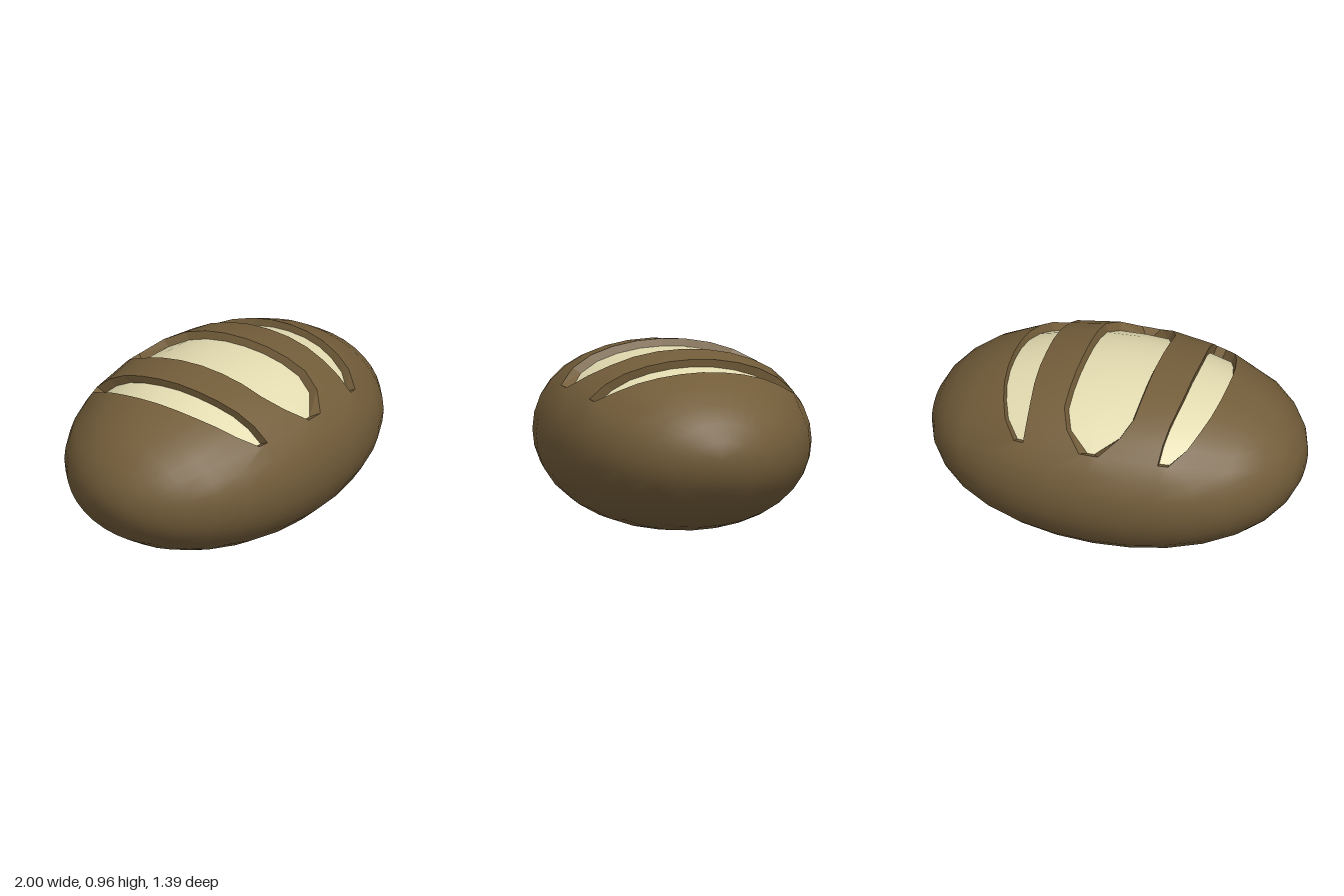
import * as THREE from 'three';

const STEP = Math.PI / 16, ROWS = 32, CAP = 8, END = 5, MID = 0.488;
const crustMat = new THREE.MeshStandardMaterial({ color: 0x735d3a });
const wallMat = new THREE.MeshStandardMaterial({ color: 0x735d3a, side: THREE.DoubleSide, flatShading: true });
const crumbMat = new THREE.MeshStandardMaterial({ color: 0xe3dbb0, side: THREE.DoubleSide });

// x of the slash edges (columns 1 to 3) from the crown to the slash end
const EDGES = {
  1: [0.195, 0.195, 0.192, 0.185, 0.14, 0.05],
  2: [0.395, 0.394, 0.385, 0.37, 0.36, 0.357],
  3: [0.566, 0.562, 0.547, 0.518, 0.48, 0.408],
};

// point of the loaf at column c (along x) and row r (around x, 0 = crown, + toward front)
function loafPoint(c, r) {
  const edge = EDGES[Math.abs(c)];
  const x = edge && Math.abs(r) <= END ? Math.sign(c) * edge[Math.abs(r)] : Math.sin(c * STEP);
  const s = Math.sqrt(Math.max(0, 1 - x * x));
  const y = s * Math.cos(r * STEP), z = s * Math.sin(r * STEP);
  const bulge = 1 + 0.1 * (x * x * y * y + y * y * z * z + z * z * x * x);
  return new THREE.Vector3(x, y * 0.485, z * 0.693).multiplyScalar(bulge);
}

// grid of points with smooth normals; keep(c, r) decides which cells stay
function geometryFrom(points, index) {
  const g = new THREE.BufferGeometry().setFromPoints(points);
  if (index) g.setIndex(index);
  g.computeVertexNormals();
  return g;
}

const inSlash = (c, r) => r >= -END && r < END && [-3, -1, 0, 2].includes(c);

function crustGeometry() {
  const points = [], all = [], open = [];
  for (let c = -CAP; c <= CAP; c++)
    for (let r = -16; r < 16; r++) points.push(loafPoint(c, r));
  const id = (c, r) => (c + CAP) * ROWS + ((r + 16) % ROWS);
  for (let c = -CAP; c < CAP; c++) {
    for (let r = -16; r < 16; r++) {
      const cell = [];
      if (c > -CAP) cell.push(id(c, r), id(c, r + 1), id(c + 1, r));
      if (c < CAP - 1) cell.push(id(c + 1, r), id(c, r + 1), id(c + 1, r + 1));
      if (c === CAP - 1) cell.splice(0, 3, id(c, r), id(c, r + 1), id(c + 1, r));
      all.push(...cell);
      if (!inSlash(c, r)) open.push(...cell);
    }
  }
  // normals come from the unbroken loaf, then the slashes are opened
  const g = geometryFrom(points, all);
  for (let r = -16; r < 16; r++) {
    g.attributes.normal.setXYZ(id(-CAP, r), -1, 0, 0);
    g.attributes.normal.setXYZ(id(CAP, r), 1, 0, 0);
  }
  g.setIndex(open);
  return g;
}

// sunken copy of a loaf point, used for the slash floor
function floorPoint(c, r) {
  const p = loafPoint(c, r), centre = Math.abs(c) <= 1;
  const k = centre ? 0.92 : 0.91;
  const tip = Math.abs(r) === END && centre ? 0.4 : 1;
  return p.set(p.x * (centre ? 0.92 : 0.985) * tip, p.y * k, p.z * k);
}

function slash(name, c0, c1) {
  const group = new THREE.Group();
  group.name = name;

  // pale floor
  const points = [], index = [], n = 2 * END + 1;
  for (let c = c0; c <= c1; c++)
    for (let r = -END; r <= END; r++) points.push(floorPoint(c, r));
  for (let i = 0; i < c1 - c0; i++) {
    for (let j = 0; j < n - 1; j++) {
      const a = i * n + j, b = a + n;
      index.push(a, a + 1, b, b, a + 1, b + 1);
    }
  }
  const floor = new THREE.Mesh(geometryFrom(points, index), crumbMat);
  floor.name = name + 'Crumb';

  // brown walls around the rim
  const rim = [];
  for (let r = -END; r < END; r++) rim.push([c0, r]);
  for (let c = c0; c < c1; c++) rim.push([c, END]);
  for (let r = END; r > -END; r--) rim.push([c1, r]);
  for (let c = c1; c > c0; c--) rim.push([c, -END]);
  const quads = [];
  rim.forEach((a, i) => {
    const b = rim[(i + 1) % rim.length];
    const A = loafPoint(...a), B = loafPoint(...b), C = floorPoint(...b), D = floorPoint(...a);
    quads.push(A, D, B, B, D, C);
  });
  const wall = new THREE.Mesh(geometryFrom(quads), wallMat);
  wall.name = name + 'Wall';
  group.add(floor, wall);
  return group;
}

export function createModel() {
  const loaf = new THREE.Group();
  loaf.name = 'breadLoaf';
  const crust = new THREE.Mesh(crustGeometry(), crustMat);
  crust.name = 'crust';
  loaf.add(crust, slash('centreSlash', -1, 1), slash('leftSlash', 2, 3), slash('rightSlash', -3, -2));
  for (const part of loaf.children) part.position.y = MID;
  return loaf;
}
